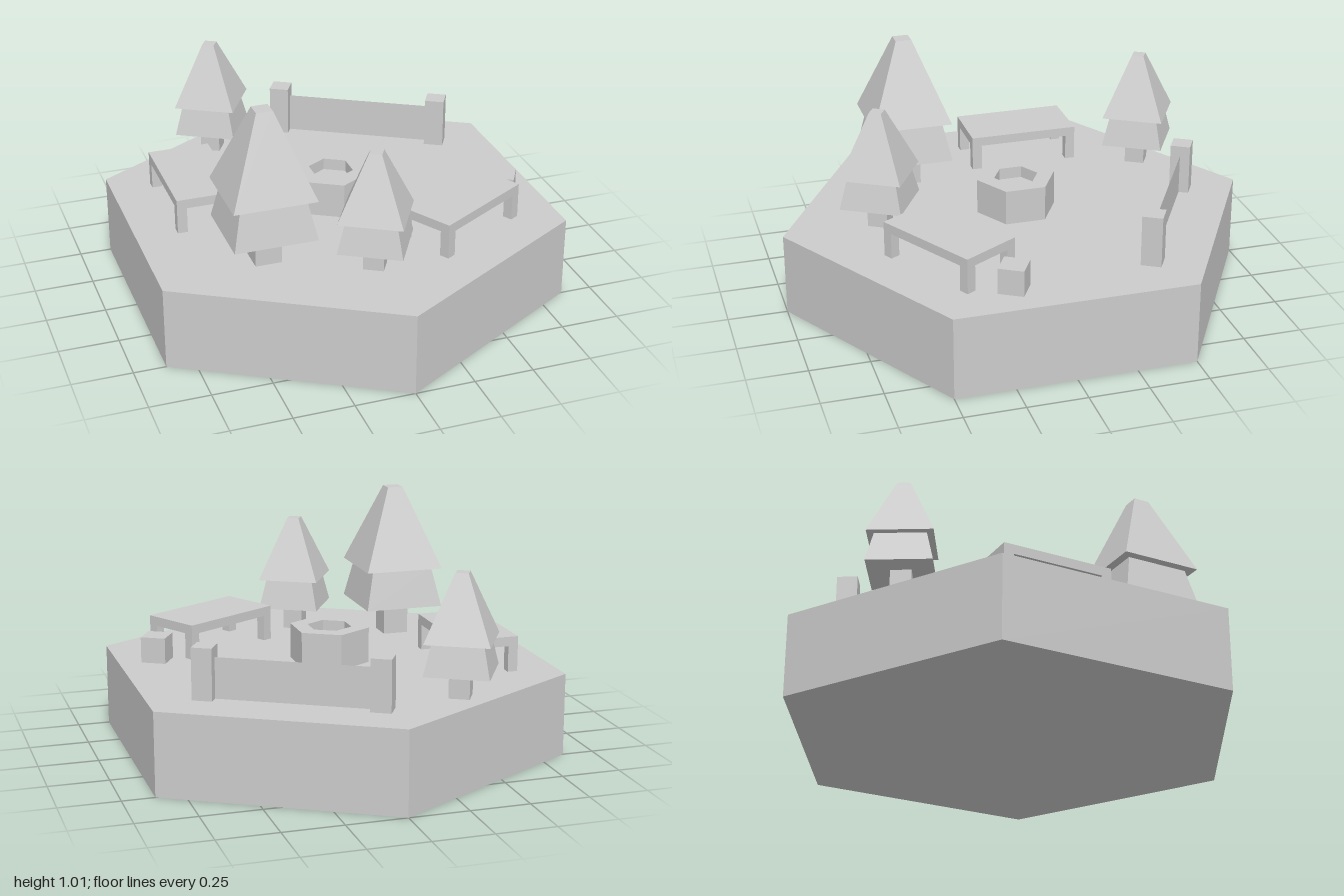
import * as THREE from 'three';

const GROUND = 0.35;
const TURN = Math.PI / 6;
const mat = new THREE.MeshStandardMaterial({ color: 0xcccccc, flatShading: true });
const sheetMat = new THREE.MeshStandardMaterial({ color: 0xcccccc, flatShading: true, side: THREE.DoubleSide });

function add(parent, name, geometry, x = 0, y = 0, z = 0, material = mat) {
  const mesh = new THREE.Mesh(geometry, material);
  mesh.name = name;
  mesh.position.set(x, y, z);
  parent.add(mesh);
  return mesh;
}

function place(root, name, x, z, turn) {
  const group = new THREE.Group();
  group.name = name;
  group.position.set(x, GROUND, z);
  group.rotation.y = turn;
  root.add(group);
  return group;
}

// Square frustum standing on y = 0, given half widths
function frustum(top, bottom, height) {
  return new THREE.CylinderGeometry(top * Math.SQRT2, bottom * Math.SQRT2, height, 4)
    .rotateY(Math.PI / 4).translate(0, height / 2, 0);
}

// Two-tier tree on a square trunk
function addTree(root, x, z, scale, turn) {
  const tree = place(root, 'tree', x, z, turn);
  tree.scale.setScalar(scale);
  add(tree, 'trunk', frustum(0.055, 0.055, 0.14));
  add(tree, 'lowerFoliage', frustum(0.135, 0.172, 0.17), 0, 0.14);
  add(tree, 'upperFoliage', frustum(0.034, 0.172, 0.35), 0, 0.31);
}

// Bench with four flush corner legs
function addBench(root, x, z, turn) {
  const [length, width, leg] = [0.475, 0.264, 0.042];
  const bench = place(root, 'bench', x, z, turn);
  add(bench, 'seat', new THREE.BoxGeometry(length, 0.04, width), 0, 0.13);
  for (const sx of [-1, 1]) for (const sz of [-1, 1]) {
    add(bench, 'leg', new THREE.BoxGeometry(leg, 0.11, leg),
      sx * (length - leg) / 2, 0.055, sz * (width - leg) / 2);
  }
}

export function createModel() {
  const root = new THREE.Group();
  root.name = 'parkTile';

  // Hexagonal ground slab
  add(root, 'base', new THREE.CylinderGeometry(1, 1, GROUND, 6), 0, GROUND / 2);

  // Hexagonal basin with a shallow recess
  const profile = [[0.17, 0], [0.17, 0.15], [0.095, 0.15], [0.095, 0.1], [0, 0.1]]
    .map(([r, y]) => new THREE.Vector2(r, y));
  add(root, 'basin', new THREE.LatheGeometry(profile, 6), 0, GROUND, 0, sheetMat);

  addTree(root, -0.415, 0.385, 1, 0);
  addTree(root, -0.017, 0.585, 0.765, -TURN);
  addTree(root, -0.336, -0.664, 0.765, -TURN);

  addBench(root, -0.56, -0.163, Math.PI / 2);
  addBench(root, 0.418, 0.4, TURN);

  // Square stool beside the bench
  const stool = place(root, 'stool', 0.7, 0.212, -TURN);
  add(stool, 'stoolBlock', new THREE.BoxGeometry(0.106, 0.11, 0.106), 0, 0.055);

  // Thin fence panel between two posts
  const fence = place(root, 'fence', 0.325, -0.564, -TURN);
  add(fence, 'fencePanel', new THREE.PlaneGeometry(0.715, 0.17), 0, 0.085, 0, sheetMat);
  for (const side of [-1, 1]) {
    add(fence, 'fencePost', new THREE.BoxGeometry(0.084, 0.215, 0.084), side * 0.357, 0.1075);
  }

  return root;
}
